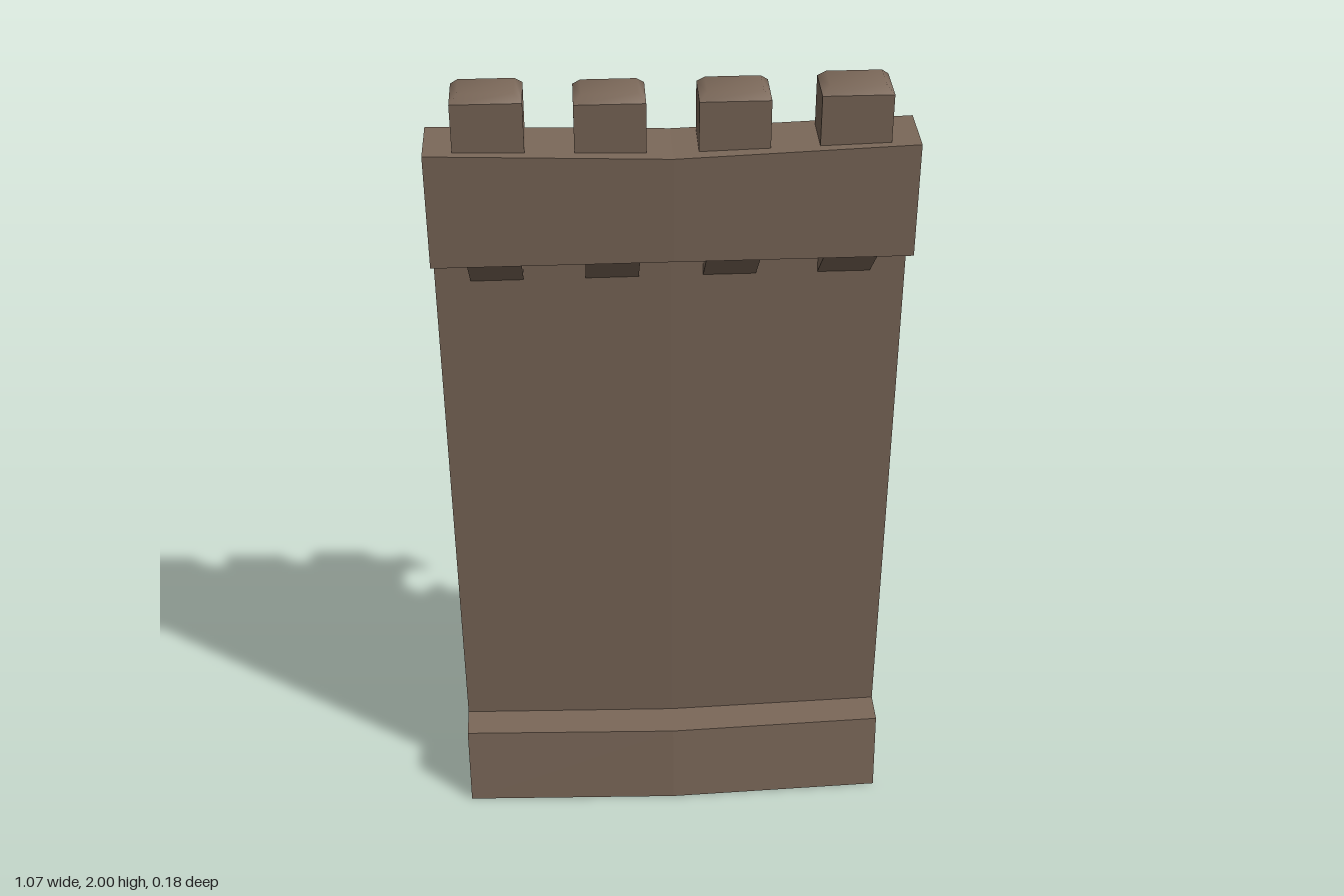
import * as THREE from 'three';
import { mergeVertices } from 'three/addons/utils/BufferGeometryUtils.js';

const stone = new THREE.MeshStandardMaterial({ color: 0x7b6859, side: THREE.DoubleSide });
stone.name = 'brown stone';

const HALF = 0.533;

// Build a surface from quads [a, b, c, d], each corner an [x, y, z]
function quadGeometry(quads) {
  const points = quads.flatMap(([a, b, c, d]) => [a, b, c, a, c, d]).flat();
  const geo = new THREE.BufferGeometry();
  geo.setAttribute('position', new THREE.Float32BufferAttribute(points, 3));
  geo.computeVertexNormals();
  return geo;
}

function mesh(name, geo) {
  const m = new THREE.Mesh(geo, stone);
  m.name = name;
  return m;
}

// Sheet across the full width between two rows, bent at the middle
function sheet(name, lower, upper) {
  const row = ({ end, mid }) => [[-HALF, ...end], [0, ...mid], [HALF, ...end]];
  const a = row(lower), b = row(upper);
  return mesh(name, quadGeometry([0, 1].map(i => [a[i], a[i + 1], b[i + 1], b[i]])));
}

// Square-plan frustum shell: rows of four corners joined in a ring
function ring(w, d, y) {
  return [[-w, y, d], [w, y, d], [w, y, -d], [-w, y, -d]];
}
function bridge(lo, hi) {
  return lo.map((p, i) => [p, lo[(i + 1) % 4], hi[(i + 1) % 4], hi[i]]);
}

// Block on the parapet with a softly shaded bevelled cap
function createMerlon(height) {
  const g = new THREE.Group();
  g.name = 'merlon';
  const bevel = height - 0.017;
  const base = ring(0.077, 0.053, 0), shoulder = ring(0.077, 0.053, bevel);
  const crown = ring(0.06, 0.037, height);
  g.add(mesh('merlonBlock', quadGeometry(bridge(base, shoulder))));
  let cap = quadGeometry([...bridge(shoulder, crown), crown]);
  cap.deleteAttribute('normal');
  cap = mergeVertices(cap);
  cap.computeVertexNormals();
  g.add(mesh('merlonCap', cap));
  return g;
}

// Open-backed bracket: sloping front plate and two kite-shaped cheeks
function createBracket() {
  const w = 0.06;
  const kite = [[1.607, 0.053], [1.502, -0.055], [1.605, -0.083], [1.665, -0.025]];
  const side = x => kite.map(p => [x, ...p]);
  const l = side(-w), r = side(w);
  return mesh('bracket', quadGeometry([
    [l[0], l[1], r[1], r[0]],
    l.slice(),
    r.slice().reverse(),
  ]));
}

export function createModel() {
  const model = new THREE.Group();
  model.name = 'castleWall';

  // Wall profile from the ground up and over: [y, z] at the ends and middle
  const rows = [
    { end: [0, 0.066], mid: [0, 0.085] },
    { end: [0.208, 0.038], mid: [0.208, 0.058] },
    { end: [0.208, -0.045], mid: [0.208, -0.028] },
    { end: [1.603, -0.045], mid: [1.61, -0.044] },
    { end: [1.603, 0.053], mid: [1.61, 0.065] },
    { end: [1.874, 0.053], mid: [1.86, 0.065] },
    { end: [1.874, -0.09], mid: [1.86, -0.083] },
    { end: [1.75, -0.087], mid: [1.75, -0.086] },
  ];
  ['baseSkirt', 'baseLedge', 'wallFace', 'overhangUnderside',
    'parapetFace', 'parapetTop', 'parapetBackLip']
    .forEach((name, i) => model.add(sheet(name, rows[i], rows[i + 1])));

  // Merlons and brackets in four bays
  for (const s of [-1, 1]) {
    for (const [x, top] of [[0.133, 1.993], [0.393, 2]]) {
      const merlon = createMerlon(top - 1.858);
      merlon.position.set(s * x, 1.858, -0.018);
      model.add(merlon);
      const bracket = createBracket();
      bracket.position.x = s * x;
      model.add(bracket);
    }
  }
  return model;
}
